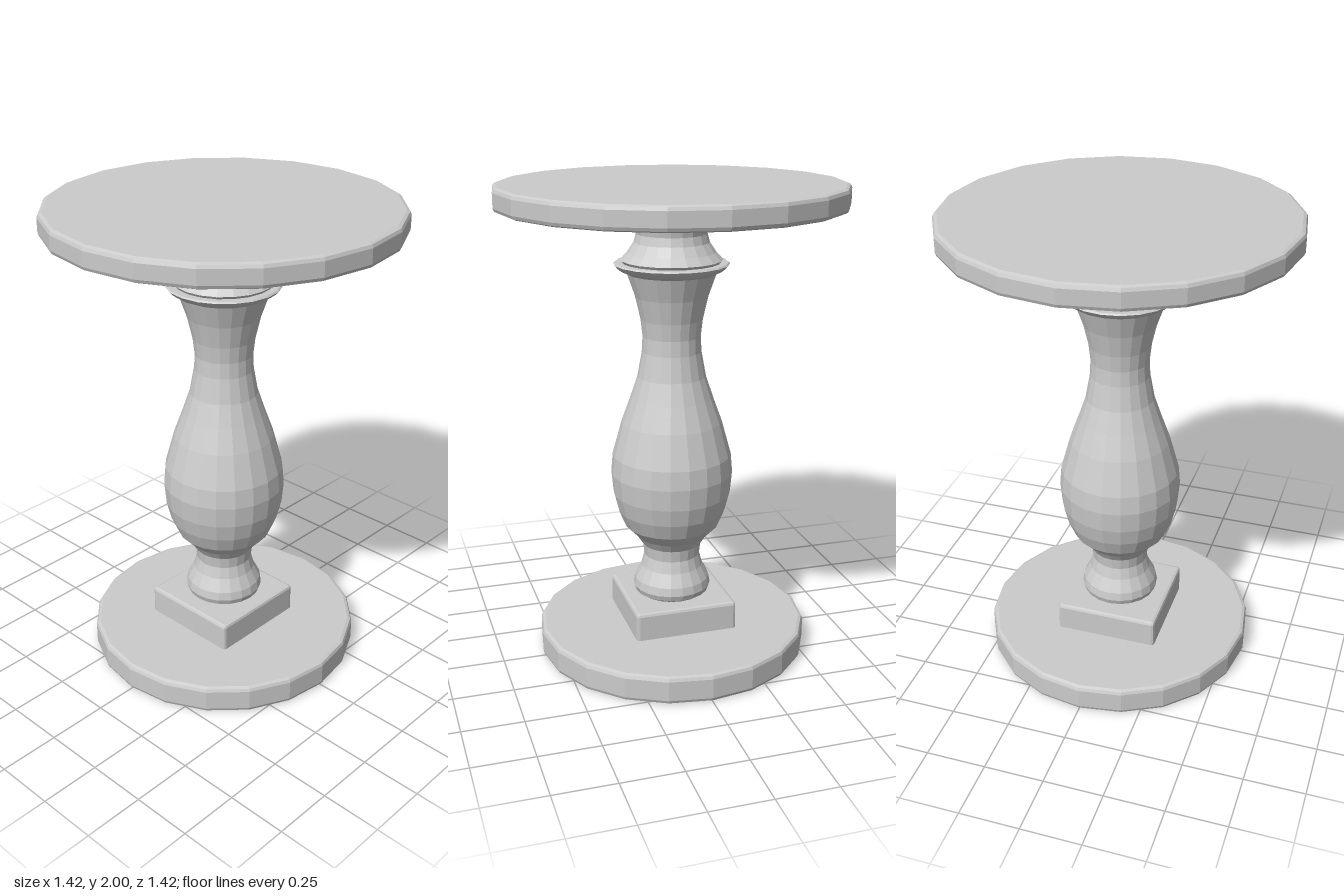
import * as THREE from 'three';
import { RoundedBoxGeometry } from 'three/addons/geometries/RoundedBoxGeometry.js';

const SIDES = 20;
const material = new THREE.MeshStandardMaterial({ color: 0xcccccc, flatShading: true });

// Faceted turned part from [radius, height] pairs, bottom to top
function turned(name, profile) {
  const points = profile.map(([r, y]) => new THREE.Vector2(r, y));
  const mesh = new THREE.Mesh(new THREE.LatheGeometry(points, SIDES), material);
  mesh.name = name;
  return mesh;
}

// Round slab with softened rims
function disc(name, radius, bottom, top) {
  const b = 0.018, s = b * 0.3;
  return turned(name, [
    [0, bottom], [radius - b, bottom], [radius - s, bottom + s], [radius, bottom + b],
    [radius, top - b], [radius - s, top - s], [radius - b, top], [0, top],
  ]);
}

export function createModel() {
  const group = new THREE.Group();
  group.name = 'pedestalTable';

  group.add(disc('base', 0.577, 0, 0.12));
  group.add(disc('tableTop', 0.712, 1.905, 2));

  // Square plinth between base and column
  const plinth = new THREE.Mesh(new RoundedBoxGeometry(0.44, 0.14, 0.44, 1, 0.013), material);
  plinth.name = 'plinth';
  plinth.position.set(-0.004, 0.17, -0.004);
  group.add(plinth);

  // Baluster column: foot, neck, belly, waist, collar and flared capital
  group.add(turned('column', [
    [0, 0.235], [0.14, 0.24], [0.158, 0.252], [0.166, 0.275], [0.16, 0.31],
    [0.132, 0.365], [0.119, 0.415], [0.125, 0.465], [0.15, 0.503],
    [0.2, 0.555], [0.23, 0.624], [0.249, 0.7], [0.257, 0.79], [0.25, 0.87],
    [0.21, 1.015], [0.172, 1.12], [0.142, 1.21], [0.123, 1.315], [0.12, 1.38],
    [0.128, 1.45], [0.15, 1.545], [0.183, 1.64],
    [0.208, 1.652], [0.225, 1.665], [0.236, 1.678], [0.23, 1.684],
    [0.2, 1.684], [0.208, 1.695], [0.18, 1.725], [0.153, 1.765],
    [0.144, 1.8], [0.15, 1.835], [0.175, 1.87], [0.21, 1.906],
  ]));
  return group;
}
